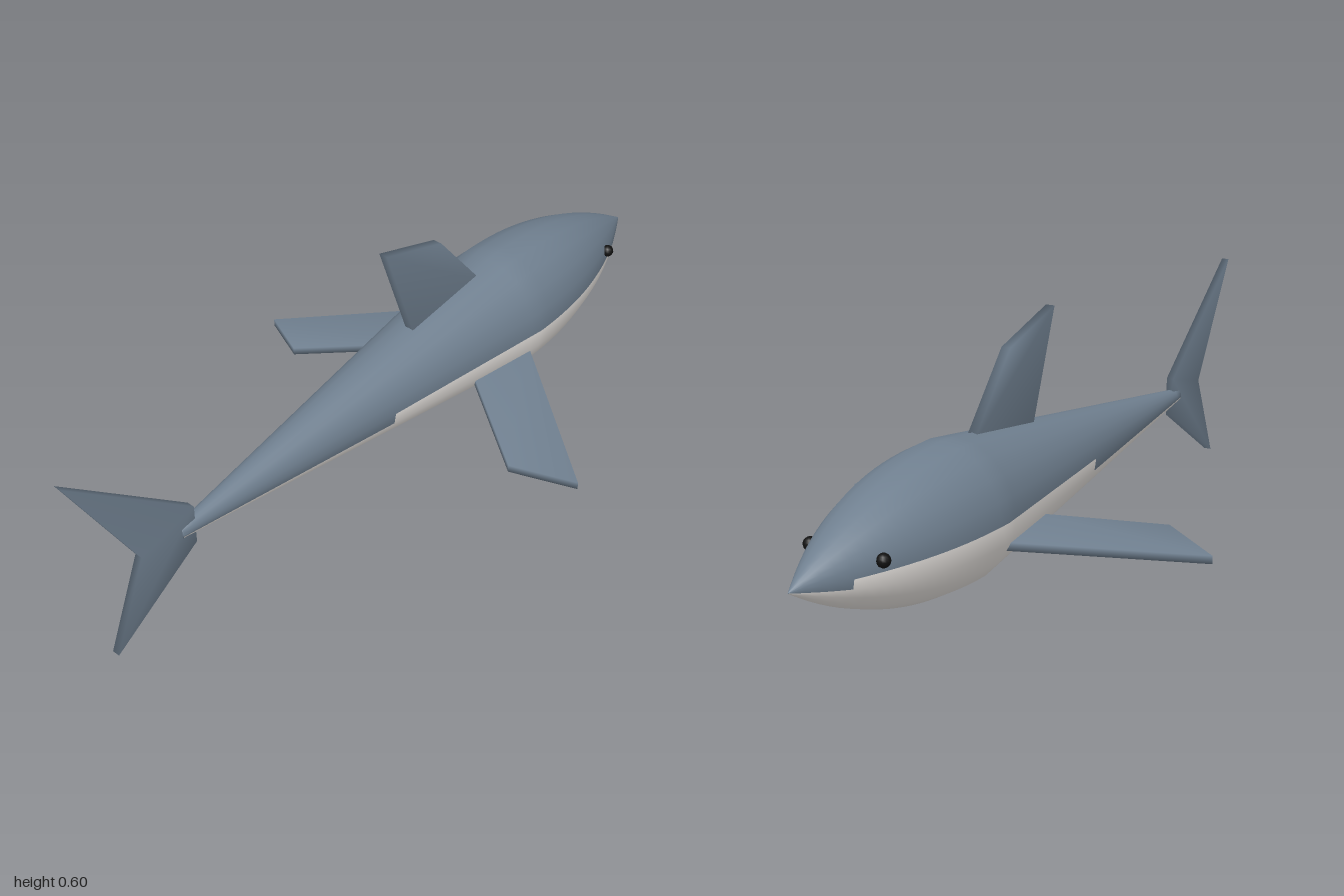
import * as THREE from 'three';
import { mergeVertices } from 'three/addons/utils/BufferGeometryUtils.js';

function flat(name, color) {
  const m = new THREE.MeshStandardMaterial({ color });
  m.name = name;
  return m;
}

// Smooth-shaded plate cut from a 2D outline, centred on its thickness
function plate(points, thickness) {
  const shape = new THREE.Shape(points.map(([x, y]) => new THREE.Vector2(x, y)));
  let g = new THREE.ExtrudeGeometry(shape, { depth: thickness, bevelEnabled: false });
  g.translate(0, 0, -thickness / 2);
  g.deleteAttribute('normal');
  g.deleteAttribute('uv');
  g = mergeVertices(g);
  g.computeVertexNormals();
  return g;
}

// Body radius factor along z: curved snout, then a straight taper to the tail
const NOSE = -1, WIDEST = -0.43, END = 0.7, MID_Y = 0.215;
function girth(z) {
  if (z < WIDEST) return Math.max(0.004, 1 - Math.pow((WIDEST - z) / (WIDEST - NOSE), 2.2));
  return 1 - 0.9 * (z - WIDEST) / (END - WIDEST);
}

function bodyGeometry() {
  const SIDES = 20, rows = [];
  for (let i = 0; i < 18; i++) rows.push(NOSE + (WIDEST - NOSE) * i / 18);
  for (let i = 0; i <= 36; i++) rows.push(WIDEST + (END - WIDEST) * i / 36);

  const pos = [], back = [], belly = [];
  for (const z of rows) {
    for (let j = 0; j < SIDES; j++) {
      const a = j / SIDES * Math.PI * 2;
      pos.push(0.158 * girth(z) * Math.cos(a), MID_Y + 0.17 * girth(z) * Math.sin(a), z);
    }
  }
  for (let i = 0; i < rows.length - 1; i++) {
    const zMid = (rows[i] + rows[i + 1]) / 2;
    // The dark back reaches one strip lower on the snout and the tail
    const drop = zMid < -0.87 || zMid > 0.07 ? 1 : 0;
    for (let j = 0; j < SIDES; j++) {
      const k = (j + 1) % SIDES;
      const a = i * SIDES + j, b = i * SIDES + k, c = b + SIDES, d = a + SIDES;
      const isBelly = j >= SIDES / 2 + drop && j < SIDES - drop;
      (isBelly ? belly : back).push(a, b, c, a, c, d);
    }
  }
  // Close the tail end
  const last = (rows.length - 1) * SIDES;
  for (let j = 1; j < SIDES - 1; j++) back.push(last, last + j, last + j + 1);

  const g = new THREE.BufferGeometry();
  g.setAttribute('position', new THREE.Float32BufferAttribute(pos, 3));
  g.setIndex([...back, ...belly]);
  g.addGroup(0, back.length, 0);
  g.addGroup(back.length, belly.length, 1);
  g.computeVertexNormals();
  return g;
}

export function createModel() {
  const skin = flat('slate skin', 0x708090);
  const pale = flat('pale belly', 0xe8e4e0);
  const black = flat('eye black', 0x111111);
  const model = new THREE.Group();
  model.name = 'shark';
  const add = (name, geometry, material) => {
    const mesh = new THREE.Mesh(geometry, material);
    mesh.name = name;
    model.add(mesh);
    return mesh;
  };

  add('body', bodyGeometry(), [skin, pale]);

  // Upright fins: outlines given as (z, y)
  const dorsal = [[-0.1, 0.3], [-0.36, 0.34], [-0.19, 0.54], [0.01, 0.602]];
  const tail = [[0.66, 0.165], [0.66, 0.27], [1, 0.55], [0.82, 0.23], [0.915, 0]];
  add('dorsalFin', plate(dorsal, 0.024).rotateY(-Math.PI / 2), skin);
  add('tailFin', plate(tail, 0.02).rotateY(-Math.PI / 2), skin);

  for (const side of [1, -1]) {
    const label = side > 0 ? 'left' : 'right';

    // Swept side fins: outline given as (x, z), then sloped down towards the tip
    const outline = [[0.11, -0.43], [0.505, -0.12], [0.355, -0.04], [0.11, -0.215]];
    const fin = plate(outline.map(([x, z]) => [side * x, z]), 0.02).rotateX(Math.PI / 2);
    const p = fin.attributes.position;
    for (let i = 0; i < p.count; i++) {
      p.setY(i, p.getY(i) + 0.152 - 0.15 * (Math.abs(p.getX(i)) - 0.11));
    }
    fin.computeVertexNormals();
    add(label + 'PectoralFin', fin, skin);

    const eye = add(label + 'Eye', new THREE.SphereGeometry(0.016, 12, 8), black);
    eye.position.set(side * 0.094, 0.24, -0.81);
  }
  return model;
}
